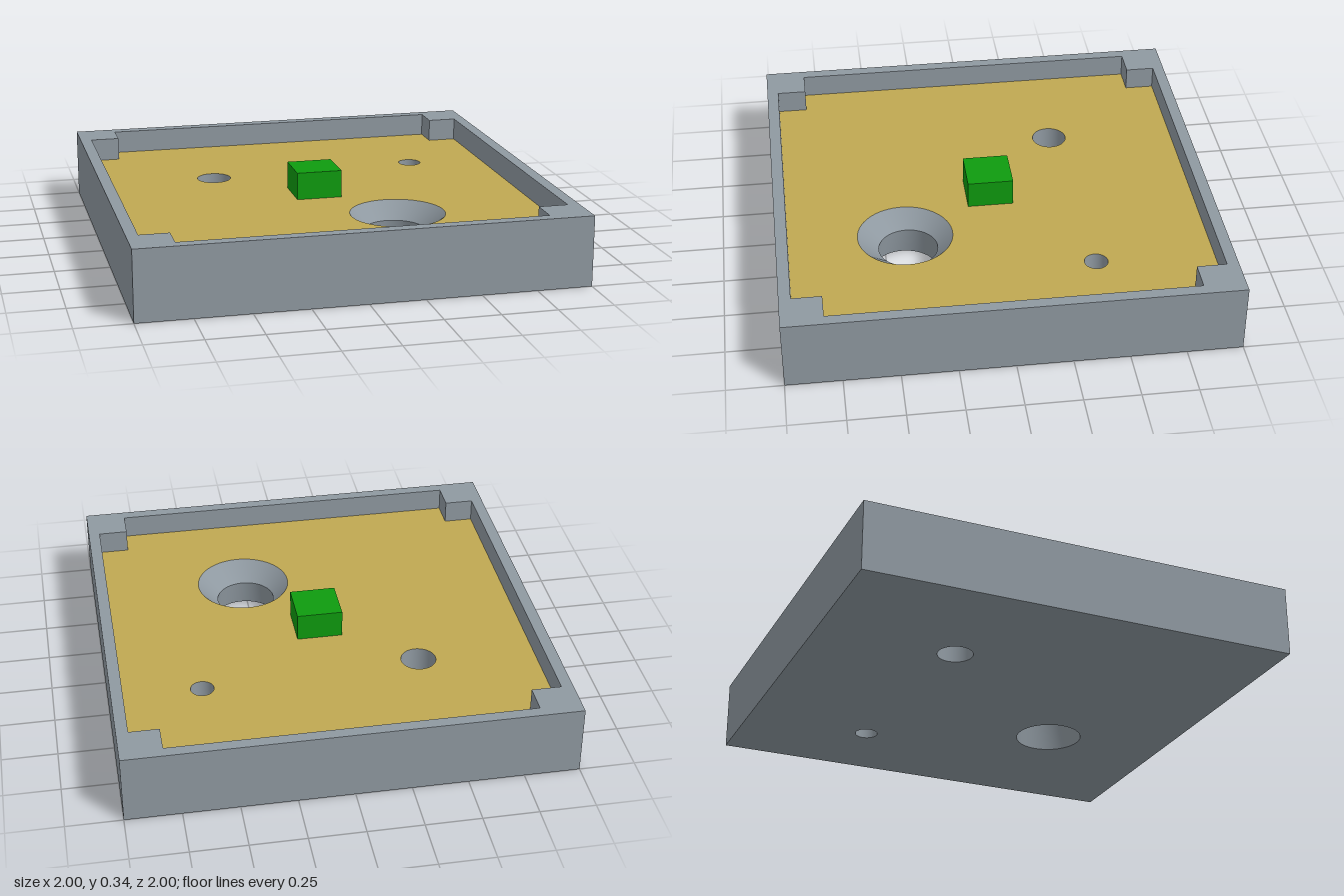
import * as THREE from 'three';

const HEIGHT = 0.32, FLOOR = 0.213, THROAT = 0.133;
const INNER = 0.947, NOTCH = 0.813;

const slate = new THREE.MeshStandardMaterial({ color: 0x8f99a1 });
const slateBore = new THREE.MeshStandardMaterial({ color: 0x8f99a1, side: THREE.DoubleSide });
const gold = new THREE.MeshStandardMaterial({ color: 0xbfa852 });
const green = new THREE.MeshStandardMaterial({ color: 0x0f9b0f });

// Each bore is a stack of rings from bottom to top: y, x, z, radius
const bores = {
  smallBore: [[0, 0.587, -0.413, 0.053], [FLOOR, 0.587, -0.413, 0.053]],
  mediumBore: [[0, -0.413, -0.354, 0.08], [FLOOR, -0.413, -0.354, 0.08]],
  countersunkBore: [
    [0, 0.28, 0.42, 0.155],
    [THROAT, 0.279, 0.402, 0.135],
    [FLOOR, 0.288, 0.415, 0.217],
  ],
};

// Square with a square notch cut from every corner
function pocketPoints() {
  const a = INNER, b = NOTCH;
  return [[b, a], [b, b], [a, b], [a, -b], [b, -b], [b, -a],
    [-b, -a], [-b, -b], [-a, -b], [-a, b], [-b, b], [-b, a]]
    .map(([x, y]) => new THREE.Vector2(x, y));
}

// Pocket outline pierced by the bores, using either their first or last ring
function piercedSheet(pickRing) {
  const shape = new THREE.Shape(pocketPoints());
  for (const rings of Object.values(bores)) {
    const [, x, z, r] = pickRing(rings);
    shape.holes.push(new THREE.Path().absarc(x, -z, r, 0, Math.PI * 2, true));
  }
  return new THREE.ShapeGeometry(shape, 32);
}

// Open tapered wall between two rings whose centres may differ
function boreWall([y0, x0, z0, r0], [y1, x1, z1, r1]) {
  const g = new THREE.CylinderGeometry(r1, r0, y1 - y0, 64, 1, true);
  const p = g.attributes.position;
  for (let i = 0; i < p.count; i++) {
    const top = p.getY(i) > 0;
    p.setXYZ(i, p.getX(i) + (top ? x1 : x0), top ? y1 : y0, p.getZ(i) + (top ? z1 : z0));
  }
  return g;
}

export function createModel() {
  const model = new THREE.Group();
  const add = (name, geometry, material, parent = model) => {
    const mesh = new THREE.Mesh(geometry, material);
    mesh.name = name;
    parent.add(mesh);
    return mesh;
  };

  // Outer wall with solid corner blocks
  const frame = new THREE.Shape([[-1, -1], [1, -1], [1, 1], [-1, 1]]
    .map(([x, y]) => new THREE.Vector2(x, y)));
  frame.holes.push(new THREE.Path(pocketPoints()));
  const frameGeometry = new THREE.ExtrudeGeometry(frame, { depth: HEIGHT, bevelEnabled: false });
  add('trayFrame', frameGeometry.rotateX(-Math.PI / 2), slate);

  // Pocket floor, and the underside facing down
  const floor = piercedSheet((rings) => rings[rings.length - 1]).rotateX(-Math.PI / 2);
  add('pocketFloor', floor.translate(0, FLOOR, 0), gold);
  add('underside', piercedSheet((rings) => rings[0]).rotateX(-Math.PI / 2), slateBore);

  // Walls of the through holes
  for (const [name, rings] of Object.entries(bores)) {
    const bore = new THREE.Group();
    bore.name = name;
    model.add(bore);
    for (let i = 1; i < rings.length; i++) {
      add('boreWall', boreWall(rings[i - 1], rings[i]), slateBore, bore);
    }
  }

  // Block standing in the middle of the floor
  const top = 0.34;
  add('centreBlock', new THREE.BoxGeometry(0.21, top - FLOOR, 0.21), green)
    .position.y = (top + FLOOR) / 2;

  return model;
}
